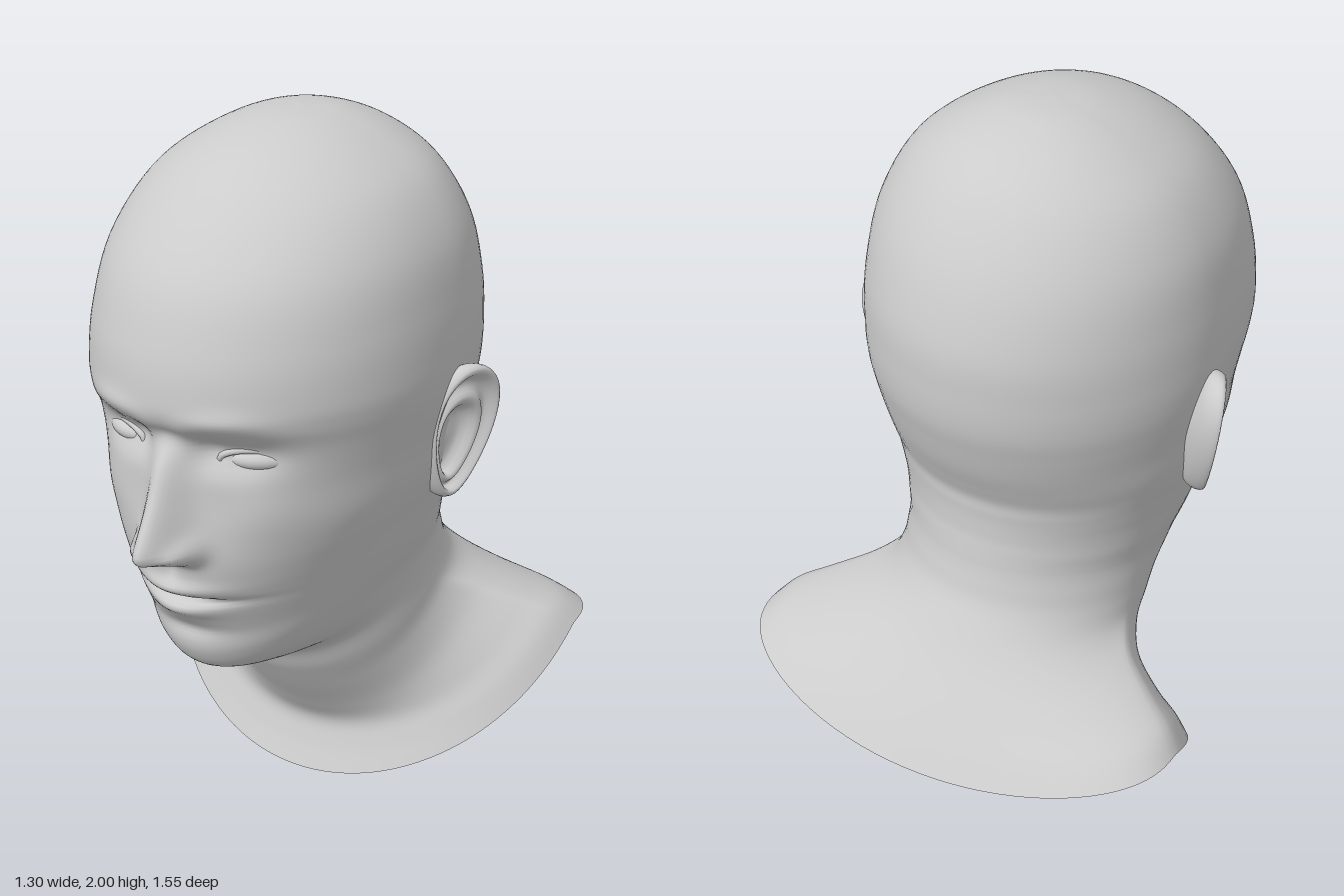
import * as THREE from 'three';

const material = new THREE.MeshStandardMaterial({ color: 0xcccccc, side: THREE.DoubleSide });
const smooth = THREE.MathUtils.smoothstep;
const clamp = THREE.MathUtils.clamp;
const bump = (x, y, cx, cy, sx, sy) => Math.exp(-(((x - cx) / sx) ** 2) - ((y - cy) / sy) ** 2);

// Head sections, crown to collar: front y, front z, side y, side z, half width, back y, back z, front taper
const SECTIONS = [
  [2.0, 0, 2.0, 0, 0.001, 2.0, 0, 1],
  [1.985, 0.14, 1.985, 0, 0.12, 1.99, -0.12, 1],
  [1.93, 0.3, 1.93, 0, 0.25, 1.94, -0.25, 0.97],
  [1.83, 0.44, 1.84, 0, 0.37, 1.85, -0.36, 0.93],
  [1.68, 0.57, 1.7, 0, 0.45, 1.7, -0.46, 0.9],
  [1.52, 0.635, 1.54, 0, 0.48, 1.53, -0.52, 0.87],
  [1.4, 0.655, 1.4, 0, 0.488, 1.4, -0.53, 0.86],
  [1.34, 0.65, 1.32, 0, 0.485, 1.3, -0.525, 0.87],
  [1.27, 0.628, 1.25, 0, 0.475, 1.22, -0.505, 0.89],
  [1.15, 0.615, 1.17, 0, 0.46, 1.14, -0.48, 0.93],
  [1.03, 0.625, 1.09, 0, 0.45, 1.07, -0.45, 1],
  [0.95, 0.63, 1.02, 0, 0.435, 1.02, -0.43, 1.08],
  [0.88, 0.622, 0.97, 0, 0.42, 0.98, -0.428, 1.15],
  [0.83, 0.608, 0.93, 0, 0.41, 0.95, -0.427, 1.2],
  [0.77, 0.585, 0.89, 0, 0.4, 0.92, -0.428, 1.25],
  [0.7, 0.56, 0.85, -0.01, 0.39, 0.89, -0.43, 1.32],
  [0.63, 0.545, 0.81, -0.03, 0.378, 0.86, -0.435, 1.38],
  [0.57, 0.5, 0.77, -0.05, 0.365, 0.83, -0.44, 1.4],
];
const NECK = [
  [0.535, 0.4, 0.74, -0.07, 0.357, 0.8, -0.445, 1.25],
  [0.5, 0.25, 0.7, -0.1, 0.353, 0.76, -0.455, 1.05],
  [0.41, 0.19, 0.64, -0.14, 0.353, 0.7, -0.475, 1],
  [0.32, 0.13, 0.59, -0.2, 0.365, 0.63, -0.52, 1],
  [0.22, 0.06, 0.55, -0.28, 0.42, 0.55, -0.58, 1],
  [0.15, 0.02, 0.5, -0.35, 0.52, 0.46, -0.66, 1],
  [0.08, 0.035, 0.46, -0.4, 0.6, 0.39, -0.72, 1],
  [0, 0.07, 0.41, -0.44, 0.65, 0.32, -0.775, 1],
];

// Turns and shifts the head slightly over the resting shoulders
function pose(p) {
  const w = smooth(p.y, 0.1, 0.7), a = 0.07 * w;
  return p.set(
    p.x * Math.cos(a) - p.z * Math.sin(a) - 0.05 * w,
    p.y + 0.025 * p.x,
    p.z * Math.cos(a) + p.x * Math.sin(a));
}

function poseGeometry(geometry) {
  const pos = geometry.attributes.position, p = new THREE.Vector3();
  for (let i = 0; i < pos.count; i++) {
    pose(p.fromBufferAttribute(pos, i));
    pos.setXYZ(i, p.x, p.y, p.z);
  }
  return geometry;
}

// Skin over closed rings of points
function loft(rows, cols, pointAt) {
  const positions = [], index = [];
  for (let i = 0; i <= rows; i++) {
    for (let j = 0; j < cols; j++) {
      positions.push(...pointAt(i / rows, j / cols).toArray());
      if (i === rows) continue;
      const a = i * cols + j, c = i * cols + (j + 1) % cols;
      index.push(a, a + cols, c, c, a + cols, c + cols);
    }
  }
  const geometry = new THREE.BufferGeometry();
  geometry.setAttribute('position', new THREE.Float32BufferAttribute(positions, 3));
  geometry.setIndex(index);
  poseGeometry(geometry).computeVertexNormals();
  return geometry;
}

function interpolate(keys, t) {
  const f = t * (keys.length - 1), i = Math.min(Math.floor(f), keys.length - 2), u = f - i;
  const at = (k) => keys[clamp(k, 0, keys.length - 1)];
  return keys[i].map((b, k) => {
    const a = at(i - 1)[k], c = at(i + 1)[k], d = at(i + 2)[k];
    return b + 0.5 * u * (c - a + u * (2 * a - 5 * b + 4 * c - d + u * (3 * (b - c) + d - a)));
  });
}

// Forward relief of the face
function faceRelief(px, y) {
  const x = Math.abs(px);
  const rise = clamp((1.31 - y) / 0.29, 0, 1);
  const width = 0.042 + 0.02 * rise;
  let d = 0.145 * rise * smooth(y, 0.93, 1.0) * Math.exp(-((x / width) ** 2)); // nose
  d += 0.045 * bump(x, y, 0.07, 0.99, 0.03, 0.035); // nostril wings
  d -= 0.02 * bump(x, y, 0, 1.29, 0.06, 0.04); // nose root
  d += 0.012 * bump(x, y, 0.17, 1.36 - 1.2 * (x - 0.17) ** 2, 0.11, 0.03); // brows
  d -= 0.045 * bump(x, y, 0.17, 1.255, 0.1, 0.05); // eye sockets
  d -= 0.02 * bump(x, y, 0.1, 1.27, 0.04, 0.045); // inner eye corners
  d += 0.012 * bump(x, y, 0.25, 1.1, 0.09, 0.08); // cheekbones
  d -= 0.01 * bump(x, y, 0, 0.92, 0.02, 0.03); // philtrum
  d += 0.022 * bump(x, y, 0, 0.862, 0.11, 0.022); // upper lip
  d -= 0.035 * bump(x, y, 0, 0.824, 0.14, 0.011); // mouth line
  d += 0.022 * bump(x, y, 0, 0.787, 0.1, 0.024); // lower lip
  d -= 0.015 * bump(x, y, 0, 0.71, 0.1, 0.025); // chin crease
  return d;
}

function headGeometry() {
  const keys = [...SECTIONS, ...NECK];
  return loft((keys.length - 1) * 6, 128, (t, v) => {
    const [yf, zf, ym, zm, w, yb, zb, q] = interpolate(keys, t);
    const s = v * 2 - 1;
    const angle = Math.PI * s * (0.45 + 0.55 * Math.abs(s)); // finer columns at the face
    const flare = smooth(t, 0.82, 1); // collar: rounded shoulder line, squarer back
    const c = Math.cos(angle), front = c > 0;
    const k = Math.abs(c) ** (front ? q : 1 - 0.18 * flare);
    const drop = k ** (1 + flare * (front ? 0.25 : 1.8));
    const p = new THREE.Vector3(
      w * Math.sin(angle),
      ym + ((front ? yf : yb) - ym) * drop,
      zm + ((front ? zf : zb) - zm) * k);
    if (front) p.z += faceRelief(p.x, p.y) * smooth(c, 0.1, 0.4);
    return p;
  });
}

// Ear: scale and outward offset from the back, over the rim, into the bowl
const EAR = [
  [0.55, -0.08], [0.85, -0.04], [0.97, -0.02], [1.01, 0.008], [0.97, 0.03], [0.89, 0.03], [0.81, 0.006],
  [0.73, 0.004], [0.64, 0.018], [0.54, 0.012], [0.44, -0.018], [0.2, -0.026], [0.001, -0.026],
];

function earGeometry(side) {
  return loft((EAR.length - 1) * 2, 40, (t, v) => {
    const [r, n] = interpolate(EAR, t);
    const a = side * v * Math.PI * 2, inner = Math.max(0, 1 - r) * smooth(t, 0.3, 0.6);
    const up = Math.cos(a) * r, rear = Math.sin(a) * r * (1 + 0.28 * Math.cos(a));
    return new THREE.Vector3(
      side * (0.475 + 0.045 * rear + 0.03 * up + n),
      1.165 + 0.195 * up - 0.04 * inner,
      -0.015 - 0.086 * rear - 0.008 * up + 0.035 * inner);
  });
}

function eyeballGeometry(side) {
  const geometry = new THREE.SphereGeometry(1, 24, 16);
  geometry.scale(0.083, 0.032, 0.045).rotateY(side * 0.45);
  return poseGeometry(geometry.translate(side * 0.2, 1.235, 0.502));
}

function eyelidGeometry(side) {
  const points = [];
  for (let i = 0; i < 16; i++) {
    const a = (i / 16) * Math.PI * 2, dx = 0.083 * Math.cos(a), dy = Math.sin(a);
    points.push(new THREE.Vector3(
      side * (0.2 + dx), 1.235 + (dy > 0 ? 0.03 : 0.024) * dy, 0.52 - 0.48 * dx + 0.01 * dy));
  }
  return poseGeometry(new THREE.TubeGeometry(new THREE.CatmullRomCurve3(points, true), 40, 0.009, 8, true));
}

export function createModel() {
  const model = new THREE.Group();
  model.name = 'headBust';
  const add = (name, geometry) => {
    const mesh = new THREE.Mesh(geometry, material);
    mesh.name = name;
    model.add(mesh);
  };

  add('headAndNeck', headGeometry());
  for (const side of [1, -1]) {
    const label = side > 0 ? 'left' : 'right';
    add(label + 'Ear', earGeometry(side));
    add(label + 'Eyeball', eyeballGeometry(side));
    add(label + 'Eyelids', eyelidGeometry(side));
  }
  return model;
}
